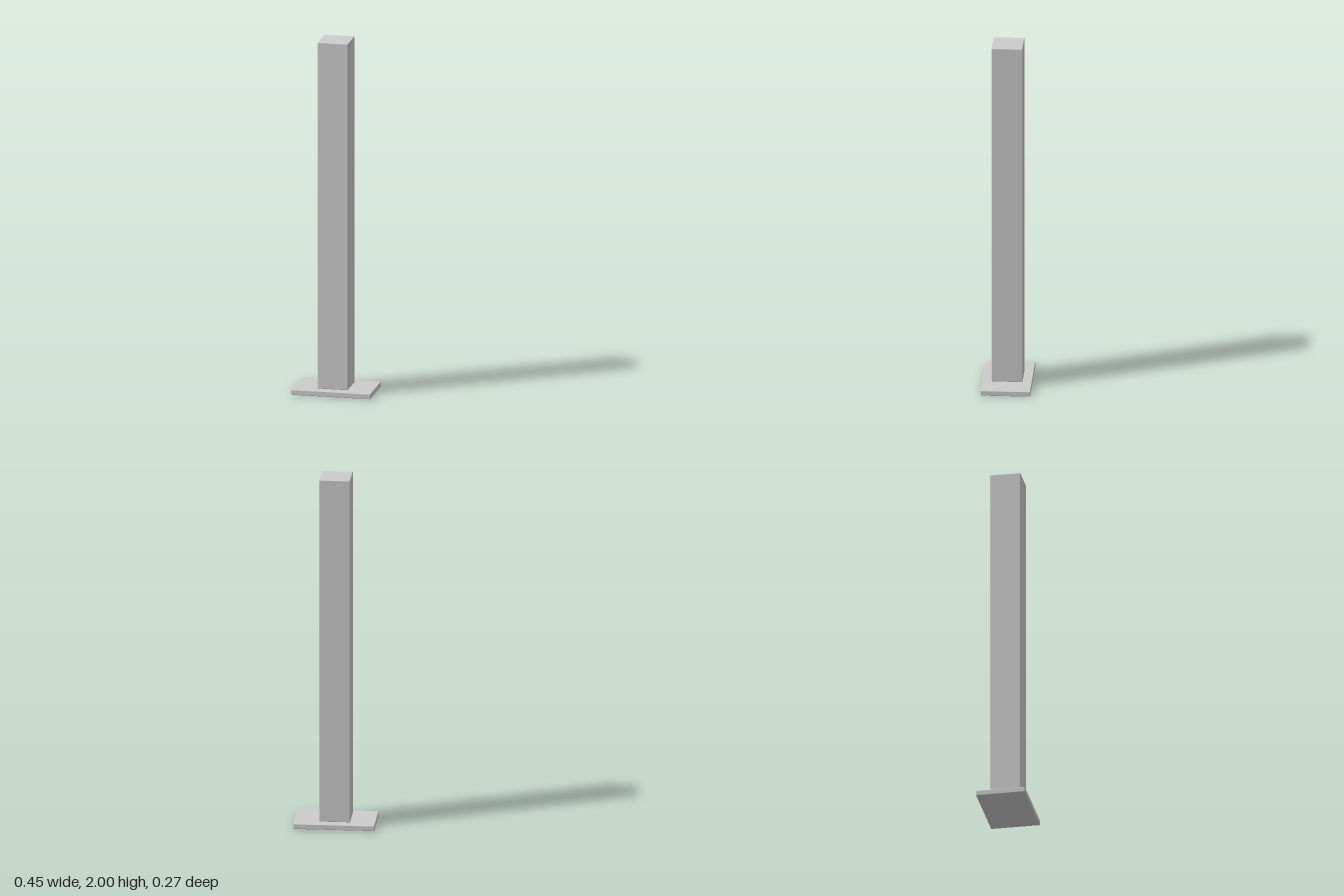
import * as THREE from 'three';
import { RoundedBoxGeometry } from 'three/addons/geometries/RoundedBoxGeometry.js';

const BASE_HEIGHT = 0.03;
const TOTAL_HEIGHT = 2;
const EDGE_RADIUS = 0.004;

export function createModel() {
  const group = new THREE.Group();
  group.name = 'post';
  const material = new THREE.MeshStandardMaterial({ color: 0xcccccc });

  // Block with finely rounded edges, standing on the given height
  const addBlock = (name, width, height, depth, bottom) => {
    const geometry = new RoundedBoxGeometry(width, height, depth, 2, EDGE_RADIUS);
    const mesh = new THREE.Mesh(geometry, material);
    mesh.name = name;
    mesh.position.y = bottom + height / 2;
    group.add(mesh);
  };

  // Flat rectangular foot
  addBlock('basePlate', 0.447, BASE_HEIGHT, 0.274, 0);
  // Square column
  addBlock('column', 0.171, TOTAL_HEIGHT - BASE_HEIGHT, 0.171, BASE_HEIGHT);

  return group;
}
